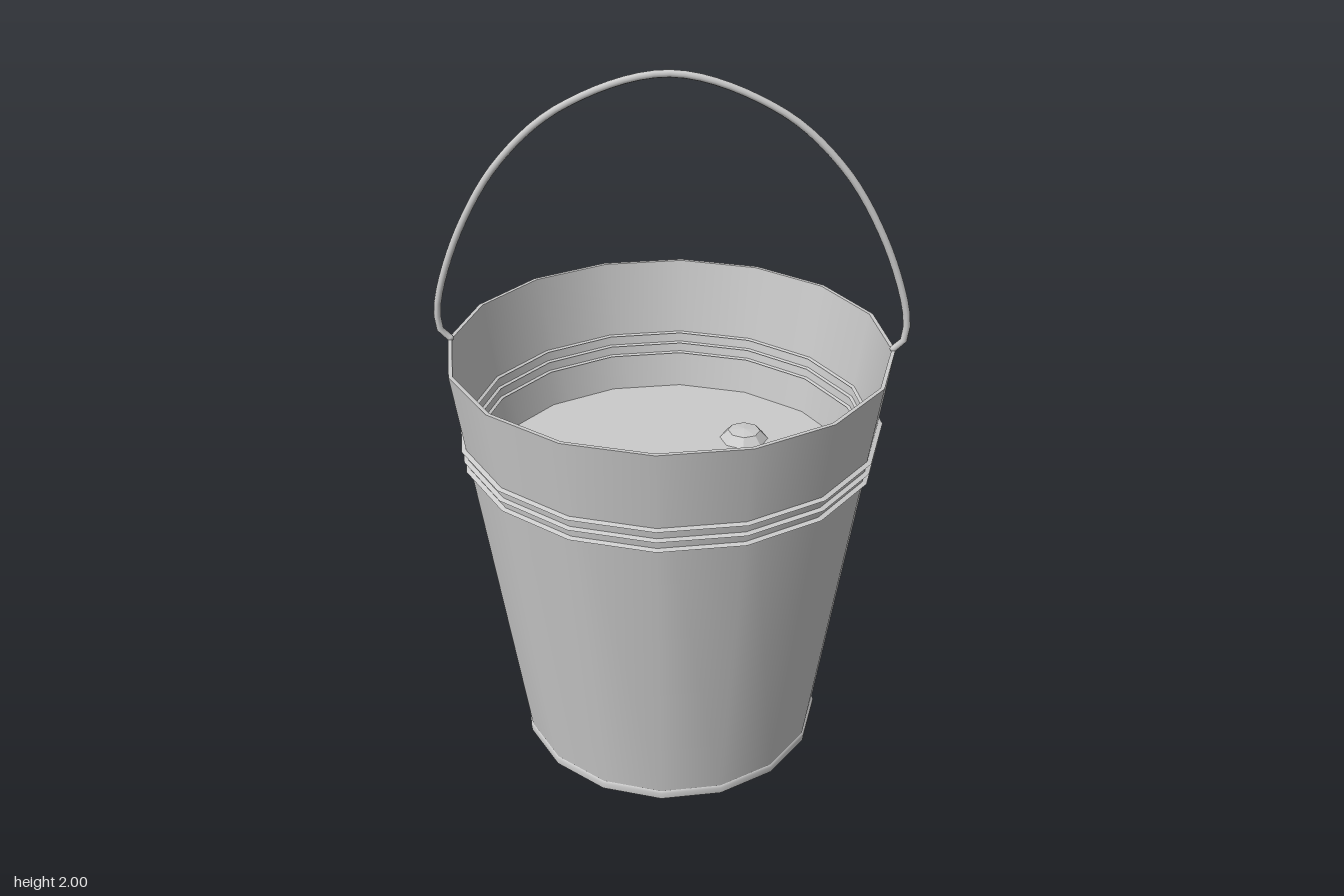
import * as THREE from 'three';

const SIDES = 16;
const material = new THREE.MeshStandardMaterial({ color: 0xcccccc });
const flatMaterial = new THREE.MeshStandardMaterial({ color: 0xcccccc, flatShading: true });

// outer wall radius at height y
const RIM_Y = 1.24, BOTTOM_R = 0.44, RIM_R = 0.617, WALL = 0.011;
const wallRadius = (y) => BOTTOM_R + (RIM_R - BOTTOM_R) * (y / RIM_Y);

function lathe(name, points, mat = material, sides = SIDES) {
  const profile = points.map(([r, y]) => new THREE.Vector2(r, y));
  const mesh = new THREE.Mesh(new THREE.LatheGeometry(profile, sides), mat);
  mesh.name = name;
  return mesh;
}

export function createModel() {
  const model = new THREE.Group();
  model.name = 'bucket';

  // Pail: separate strips keep the edges between them sharp
  const pail = new THREE.Group();
  pail.name = 'pail';
  pail.add(
    lathe('outerWall', [[wallRadius(0.02), 0.02], [RIM_R, RIM_Y]]),
    lathe('innerWall', [[RIM_R - WALL, RIM_Y], [BOTTOM_R - WALL, 0.02]]),
    lathe('rim', [[RIM_R, RIM_Y], [RIM_R - WALL, RIM_Y]]),
    lathe('base', [[0, 0], [0.447, 0]]),
    lathe('baseTrim', [[0.447, 0], [0.449, 0.02], [wallRadius(0.025), 0.025]]),
    lathe('innerFloor', [[BOTTOM_R - WALL, 0.02], [0, 0.02]])
  );
  model.add(pail);

  // Three ridges pressed through the wall
  for (const y of [1.01, 0.977, 0.945]) {
    const r = wallRadius(y);
    model.add(lathe('ridge', [
      [r - 0.02, y], [r - 0.004, y - 0.006], [r + 0.013, y], [r - 0.004, y + 0.006], [r - 0.02, y],
    ], flatMaterial));
  }

  // Liquid surface
  const level = 0.835;
  model.add(lathe('liquid', [[wallRadius(level) - 0.006, level], [0, level]]));

  // Bubbles floating on the liquid
  for (const [x, z] of [[0.21, -0.21], [-0.21, 0], [0.21, 0.21]]) {
    const bubble = lathe('bubble', [[0.06, -0.02], [0.072, 0], [0.048, 0.026], [0, 0.032]], flatMaterial, 8);
    bubble.position.set(x, level, z);
    model.add(bubble);
  }

  // Wire handle: half the path, mirrored
  const half = [
    [-0.61, 1.243], [-0.632, 1.26], [-0.641, 1.3], [-0.633, 1.37],
    [-0.565, 1.56], [-0.45, 1.75], [-0.28, 1.9],
  ];
  const path = [...half, [0, 1.99], ...half.map(([x, y]) => [-x, y]).reverse()];
  const curve = new THREE.CatmullRomCurve3(path.map(([x, y]) => new THREE.Vector3(x, y, 0)));
  const handle = new THREE.Mesh(new THREE.TubeGeometry(curve, 56, 0.01, 8), material);
  handle.name = 'handle';
  model.add(handle);

  // Closed ends of the wire
  for (const side of [-1, 1]) {
    const tip = new THREE.Mesh(new THREE.SphereGeometry(0.01, 8, 6), material);
    tip.name = 'handleTip';
    tip.position.set(side * 0.61, 1.243, 0);
    model.add(tip);
  }
  return model;
}
